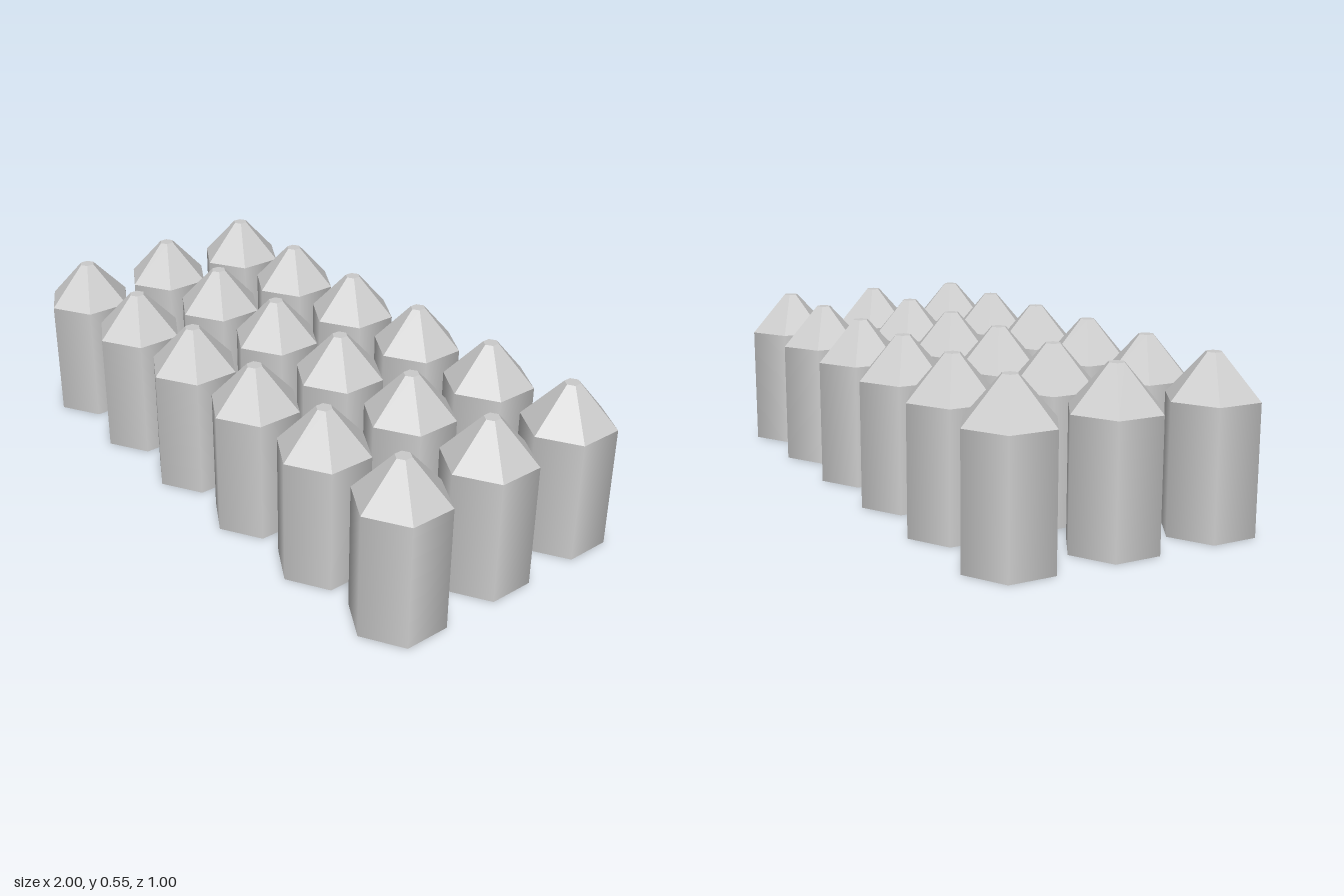
import * as THREE from 'three';

const COLUMNS = 6, ROWS = 3, PITCH = 0.347;
const RADIUS = 0.153, TIP_RADIUS = 0.026, BODY_H = 0.415, TOTAL_H = 0.553;

export function createModel() {
  const model = new THREE.Group();
  model.name = 'postGrid';

  const smooth = new THREE.MeshStandardMaterial({ color: 0xcccccc, side: THREE.DoubleSide });
  const flat = new THREE.MeshStandardMaterial({ color: 0xcccccc, side: THREE.DoubleSide, flatShading: true });

  // Six-sided tube, smooth-shaded and open underneath
  const bodyGeo = new THREE.CylinderGeometry(RADIUS, RADIUS, BODY_H, 6, 1, true);
  bodyGeo.translate(0, BODY_H / 2, 0);

  // Faceted tapering roof, open at the eaves
  const roofH = TOTAL_H - BODY_H;
  const roofGeo = new THREE.CylinderGeometry(TIP_RADIUS, RADIUS, roofH, 6, 1, true);
  roofGeo.translate(0, BODY_H + roofH / 2, 0);

  // Small flat hexagon closing the tip, corners on the z axis
  const tipGeo = new THREE.CircleGeometry(TIP_RADIUS, 6, Math.PI / 2);
  tipGeo.rotateX(-Math.PI / 2).translate(0, TOTAL_H, 0);

  const parts = [['body', bodyGeo, smooth], ['roof', roofGeo, flat], ['tip', tipGeo, flat]];

  for (let row = 0; row < ROWS; row++) {
    for (let col = 0; col < COLUMNS; col++) {
      const post = new THREE.Group();
      post.name = `post_${row + 1}_${col + 1}`;
      for (const [name, geometry, material] of parts) {
        const mesh = new THREE.Mesh(geometry, material);
        mesh.name = name;
        post.add(mesh);
      }
      post.position.set((col - (COLUMNS - 1) / 2) * PITCH, 0, (row - (ROWS - 1) / 2) * PITCH);
      model.add(post);
    }
  }
  return model;
}
